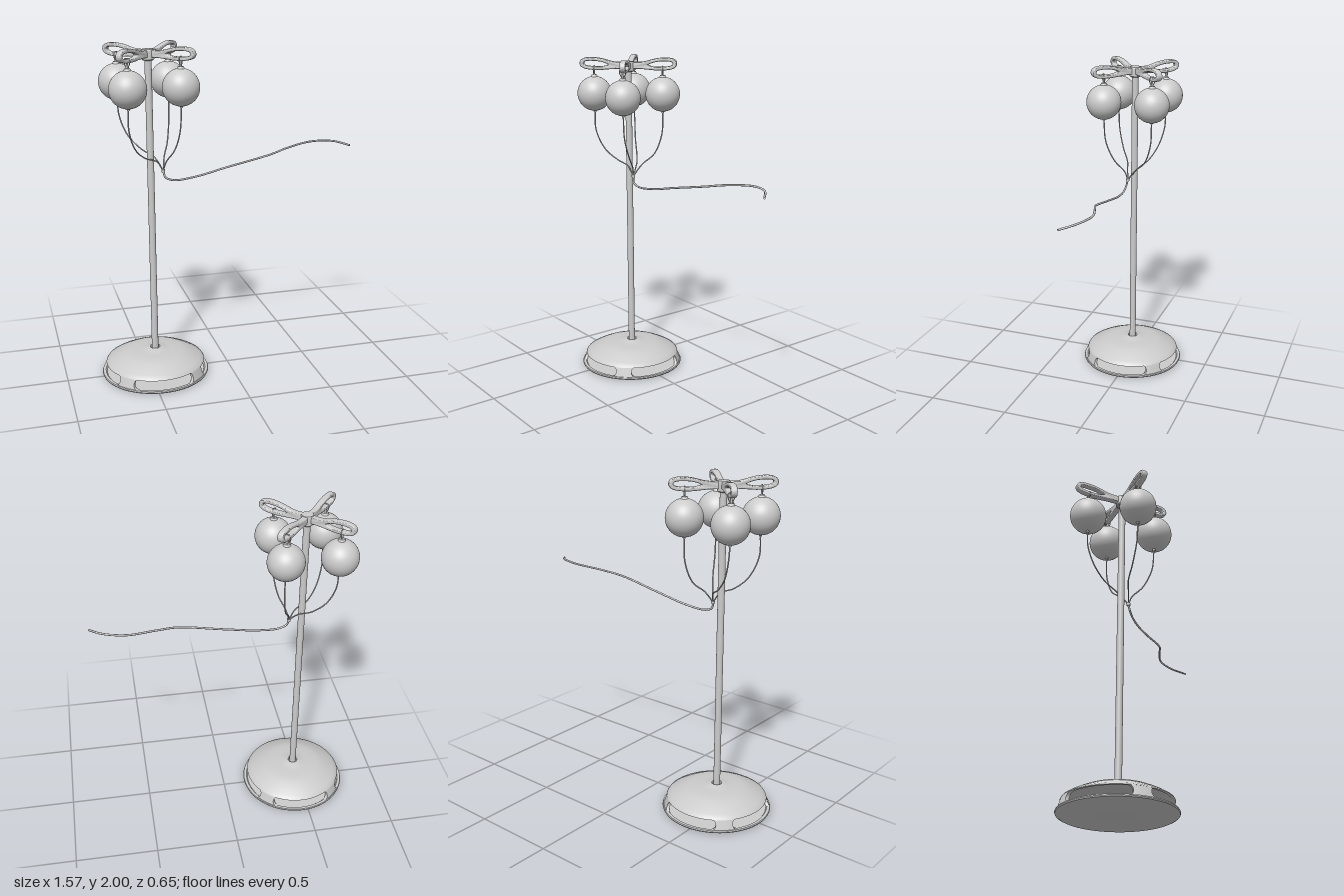
import * as THREE from 'three';
import { toCreasedNormals } from 'three/addons/utils/BufferGeometryUtils.js';

const material = new THREE.MeshStandardMaterial({ color: 0xcccccc, side: THREE.DoubleSide });
const POLE_X = -0.46;

function add(parent, name, geometry, x = 0, y = 0, z = 0) {
  const mesh = new THREE.Mesh(geometry, material);
  mesh.name = name;
  mesh.position.set(x, y, z);
  parent.add(mesh);
  return mesh;
}

function lathe(points, segments = 72) {
  const geometry = new THREE.LatheGeometry(points.map(([r, y]) => new THREE.Vector2(r, y)), segments);
  return toCreasedNormals(geometry, 0.5);
}

function cable(points, radius, segments = 60) {
  const curve = new THREE.CatmullRomCurve3(points.map((p) => new THREE.Vector3(...p)));
  return new THREE.TubeGeometry(curve, segments, radius, 8);
}

// Curved bridge between base plate and dome, flaring at both ends to round the window corners
function bridgeGeometry() {
  const geometry = new THREE.BoxGeometry(2, 1, 1, 12, 20, 1);
  const pos = geometry.attributes.position;
  const r = 0.025;
  for (let i = 0; i < pos.count; i++) {
    const t = pos.getY(i) + 0.5;
    const s = 2 * t - 1;
    const halfWidth = 0.05 + r * (1 - Math.sqrt(Math.max(0, 1 - s * s)));
    const radius = 0.317 - 0.019 * t + (pos.getZ(i) - 0.5) * 0.02;
    const angle = (pos.getX(i) * halfWidth) / 0.31;
    pos.setXYZ(i, radius * Math.sin(angle), 0.018 + 0.06 * t, radius * Math.cos(angle));
  }
  return toCreasedNormals(geometry, 0.6);
}

// Arm side profile: slim neck swelling into an oval eye
function armGeometry() {
  const shape = new THREE.Shape();
  shape.moveTo(0, 1.936);
  shape.lineTo(0.07, 1.936);
  shape.bezierCurveTo(0.13, 1.934, 0.15, 1.926, 0.21, 1.928);
  shape.bezierCurveTo(0.265, 1.93, 0.295, 1.94, 0.295, 1.962);
  shape.bezierCurveTo(0.295, 1.99, 0.265, 1.996, 0.22, 1.995);
  shape.bezierCurveTo(0.15, 1.992, 0.12, 1.97, 0.07, 1.968);
  shape.lineTo(0, 1.968);
  const eye = new THREE.Path();
  eye.moveTo(0.115, 1.957);
  eye.bezierCurveTo(0.13, 1.94, 0.17, 1.938, 0.21, 1.94);
  eye.bezierCurveTo(0.255, 1.941, 0.279, 1.947, 0.279, 1.963);
  eye.bezierCurveTo(0.279, 1.982, 0.255, 1.984, 0.215, 1.983);
  eye.bezierCurveTo(0.17, 1.981, 0.135, 1.972, 0.115, 1.957);
  shape.holes.push(eye);
  const geometry = new THREE.ExtrudeGeometry(shape, {
    depth: 0.018, curveSegments: 14, bevelEnabled: true,
    bevelThickness: 0.008, bevelSize: 0.005, bevelSegments: 4,
  });
  geometry.translate(0, 0, -0.009);
  return toCreasedNormals(geometry, 0.8);
}

function createBase() {
  const base = new THREE.Group();
  base.name = 'base';
  base.position.x = POLE_X;
  add(base, 'basePlate', lathe([[0, 0], [0.31, 0], [0.322, 0.006], [0.325, 0.013],
    [0.322, 0.02], [0.305, 0.02], [0.298, 0.012], [0, 0.012]]));
  add(base, 'dome', lathe([[0, 0.138], [0.16, 0.132], [0.24, 0.1], [0.282, 0.076], [0.3, 0.076],
    [0.295, 0.084], [0.272, 0.098], [0.235, 0.117], [0.195, 0.135], [0.16, 0.145],
    [0.1, 0.148], [0.055, 0.152], [0.036, 0.16], [0.03, 0.16], [0.026, 0.148], [0, 0.148]]));
  const bridge = bridgeGeometry();
  for (let i = 0; i < 4; i++) {
    add(base, 'baseBridge', bridge).rotation.y = Math.PI / 4 + (i * Math.PI) / 2;
  }
  return base;
}

function createTop() {
  const top = new THREE.Group();
  top.name = 'top';
  top.position.x = POLE_X;
  add(top, 'pole', new THREE.CylinderGeometry(0.02, 0.02, 1.8, 32), 0, 1.04, 0);
  add(top, 'hub', lathe([[0, 1.914], [0.03, 1.914], [0.036, 1.92], [0.037, 1.968],
    [0.033, 1.976], [0, 1.98]], 32));
  const arm = armGeometry();
  for (const [x, z] of [[0.215, 0.19], [0.195, -0.21], [-0.21, -0.2], [-0.195, 0.21]]) {
    add(top, 'arm', arm).rotation.y = Math.atan2(-z, x);
  }
  return top;
}

// Hanging globe with cap, stem and link to the arm eye
function createGlobe(x, z) {
  const globe = new THREE.Group();
  globe.name = 'globe';
  globe.position.set(x, 1.778, z);
  globe.rotation.y = Math.atan2(-z, x - POLE_X);
  add(globe, 'ball', new THREE.SphereGeometry(0.106, 48, 32));
  add(globe, 'cap', new THREE.CylinderGeometry(0.016, 0.022, 0.014, 24), 0, 0.109, 0);
  add(globe, 'stem', new THREE.CylinderGeometry(0.006, 0.006, 0.03, 12), 0, 0.127, 0);
  for (const side of [-1, 1]) {
    add(globe, 'hookWire', cable([[0, 0.12, side * 0.006], [0, 0.14, side * 0.016],
      [0, 0.158, side * 0.019], [0, 0.17, side * 0.008], [0, 0.17, 0]], 0.003, 20));
  }
  add(globe, 'socket', new THREE.CylinderGeometry(0.012, 0.007, 0.014, 16), 0, -0.108, 0);
  return globe;
}

export function createModel() {
  const model = new THREE.Group();
  model.name = 'globeStand';
  model.add(createBase(), createTop());

  // Each cable runs from its globe down to the shared tie
  const tie = [-0.39, 1.275, 0.02];
  const cables = [
    [[-0.605, 1.68, 0.155], [-0.605, 1.55, 0.15], [-0.565, 1.43, 0.11], [-0.5, 1.365, 0.06], [-0.43, 1.335, 0.035]],
    [[-0.618, 1.68, -0.15], [-0.61, 1.58, -0.15], [-0.57, 1.47, -0.125], [-0.5, 1.39, -0.085], [-0.43, 1.345, -0.035]],
    [[-0.306, 1.68, 0.148], [-0.312, 1.53, 0.137], [-0.335, 1.41, 0.09], [-0.375, 1.33, 0.035]],
    [[-0.314, 1.68, -0.154], [-0.317, 1.53, -0.148], [-0.338, 1.41, -0.105], [-0.372, 1.345, -0.035]],
  ];
  for (const points of cables) {
    model.add(createGlobe(points[0][0], points[0][2]));
    add(model, 'globeCable', cable([...points, tie], 0.004));
  }
  add(model, 'cableTie', new THREE.CylinderGeometry(0.011, 0.011, 0.016, 16), ...tie);

  // Main cord trailing away to the side
  add(model, 'mainCord', cable([tie, [-0.38, 1.237, 0.026], [-0.33, 1.216, 0.025], [-0.2, 1.224, 0.015],
    [0, 1.265, 0], [0.27, 1.32, -0.015], [0.4, 1.345, -0.06], [0.57, 1.364, -0.106],
    [0.7, 1.365, -0.075], [0.78, 1.35, 0]], 0.006, 120));
  return model;
}
